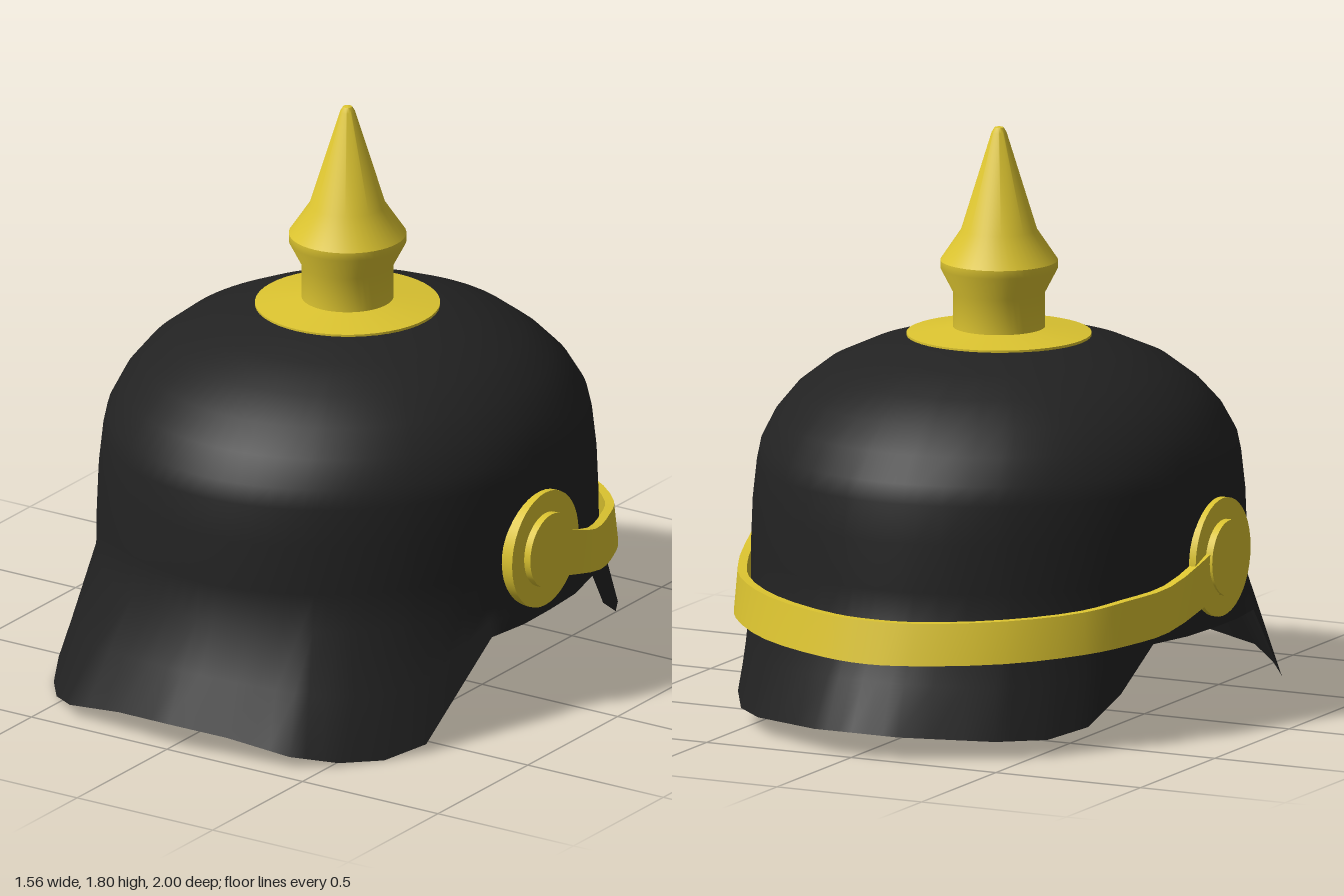
import * as THREE from 'three';
import { toCreasedNormals } from 'three/addons/utils/BufferGeometryUtils.js';

const CZ = -0.005; // centre of the bowl in z
const black = new THREE.MeshStandardMaterial({ color: 0x222222, side: THREE.DoubleSide });
const gold = new THREE.MeshStandardMaterial({ color: 0xdcc430 });

// Bowl rings from the crown down: [half width, half depth, y]
const BOWL = [
  [0.001, 0.001, 1.172], [0.15, 0.16, 1.168], [0.28, 0.29, 1.15], [0.41, 0.425, 1.11], [0.53, 0.555, 1.055],
  [0.62, 0.65, 0.985], [0.68, 0.73, 0.91], [0.718, 0.786, 0.83], [0.728, 0.806, 0.77],
  [0.74, 0.822, 0.65], [0.745, 0.83, 0.5], [0.743, 0.838, 0.38],
];

// Left half of the lower rim, from the front peak to the neck guard
const RIM = [
  [0, 0.085, 0.995], [0.2, 0.073, 0.967], [0.405, 0.042, 0.93], [0.52, 0.014, 0.83], [0.61, 0.004, 0.71],
  [0.678, 0.03, 0.58], [0.728, 0.3, 0.29], [0.748, 0.3, 0.14], [0.745, 0.3, -0.01], [0.735, 0.3, -0.16],
  [0.695, 0.3, -0.32], [0.648, 0.16, -0.45], [0.605, 0.08, -0.585], [0.53, 0.056, -0.71],
  [0.41, 0.06, -0.83], [0.145, 0.075, -0.97], [0, 0.082, -1],
];

const mirrorPath = (half) => [
  ...half,
  ...half.slice(0, -1).reverse().map(([x, y, z]) => [-x, y, z]),
];

function mesh(name, geometry, material) {
  const m = new THREE.Mesh(geometry, material);
  m.name = name;
  return m;
}

// Joins equal-length rows of points into a surface
function loft(rows) {
  const n = rows[0].length;
  const index = [];
  for (let i = 0; i < rows.length - 1; i++) {
    for (let j = 0; j < n; j++) {
      const k = (j + 1) % n;
      const a = i * n + j, b = a + n, c = i * n + k, d = c + n;
      index.push(a, b, c, c, b, d);
    }
  }
  const g = new THREE.BufferGeometry();
  g.setAttribute('position', new THREE.Float32BufferAttribute(rows.flat(2), 3));
  g.setIndex(index);
  g.computeVertexNormals();
  return g;
}

// Oval bowl whose lowest ring flares into the peak and neck guard
function shellGeometry() {
  const path = mirrorPath(RIM);
  const rim = [];
  for (let i = 0; i < path.length - 1; i++) {
    for (let s = 0; s < 3; s++) {
      rim.push(path[i].map((v, k) => v + (path[i + 1][k] - v) * s / 3));
    }
  }
  const angles = rim.map(([x, , z]) => Math.atan2(x / 0.745, (z - CZ) / 0.835));
  const rows = BOWL.map(([a, b, y]) => angles.map((t) => [a * Math.sin(t), y, CZ + b * Math.cos(t)]));
  const fold = rows[rows.length - 1];
  const middle = rim.map((p, j) => p.map((v, k) => (v + fold[j][k]) / 2));
  rows.push(middle, rim);
  return loft(rows);
}

// Band round the back, from one side boss to the other
function strapGeometry() {
  const curve = (half) => new THREE.CatmullRomCurve3(
    mirrorPath(half).map((p) => new THREE.Vector3(...p)), false, 'centripetal');
  const top = curve([[0.772, 0.575, 0.02], [0.77, 0.545, -0.08], [0.735, 0.477, -0.28], [0.672, 0.457, -0.45],
    [0.595, 0.44, -0.59], [0.41, 0.425, -0.755], [0.15, 0.412, -0.86], [0, 0.41, -0.875]]);
  const bottom = curve([[0.772, 0.42, 0.02], [0.77, 0.398, -0.07], [0.738, 0.337, -0.3], [0.68, 0.32, -0.46],
    [0.604, 0.31, -0.6], [0.415, 0.295, -0.775], [0.15, 0.284, -0.888], [0, 0.28, -0.905]]);
  const rows = [];
  const steps = 42;
  for (let i = 0; i <= steps; i++) {
    const t = i / steps;
    const p = top.getPoint(t), q = bottom.getPoint(t), d = top.getTangent(t);
    const inward = new THREE.Vector3(d.z, 0, -d.x).normalize().multiplyScalar(0.028);
    if (inward.x * p.x + inward.z * p.z > 0) inward.negate();
    const section = [p, q, q.clone().add(inward), p.clone().add(inward)];
    rows.push(section.map((v) => v.toArray()));
  }
  return toCreasedNormals(loft(rows), 0.7);
}

export function createModel() {
  const group = new THREE.Group();
  group.name = 'spikedHelmet';

  group.add(mesh('shell', shellGeometry(), black));

  // Spike with its base plate
  const profile = [[0, 1.14], [0.285, 1.143], [0.285, 1.157], [0.142, 1.176], [0.142, 1.285], [0.181, 1.36],
    [0.181, 1.385], [0.117, 1.48], [0.023, 1.785], [0.014, 1.8], [0, 1.804]].map((p) => new THREE.Vector2(...p));
  const spike = mesh('spike', toCreasedNormals(new THREE.LatheGeometry(profile, 48), 0.5), gold);
  spike.position.z = CZ;
  group.add(spike);

  // Two stacked round bosses on each side
  for (const side of [1, -1]) {
    const boss = new THREE.Group();
    boss.name = side > 0 ? 'leftBoss' : 'rightBoss';
    for (const [name, radius, inner, outer] of [['bossPlate', 0.185, 0.715, 0.755], ['bossCap', 0.118, 0.74, 0.778]]) {
      const disc = mesh(name, new THREE.CylinderGeometry(radius, radius, outer - inner, 40), gold);
      disc.rotation.z = Math.PI / 2;
      disc.position.set(side * (inner + outer) / 2, 0.515, 0.033);
      boss.add(disc);
    }
    group.add(boss);
  }

  const strapMaterial = gold.clone();
  strapMaterial.side = THREE.DoubleSide;
  group.add(mesh('strap', strapGeometry(), strapMaterial));
  return group;
}
